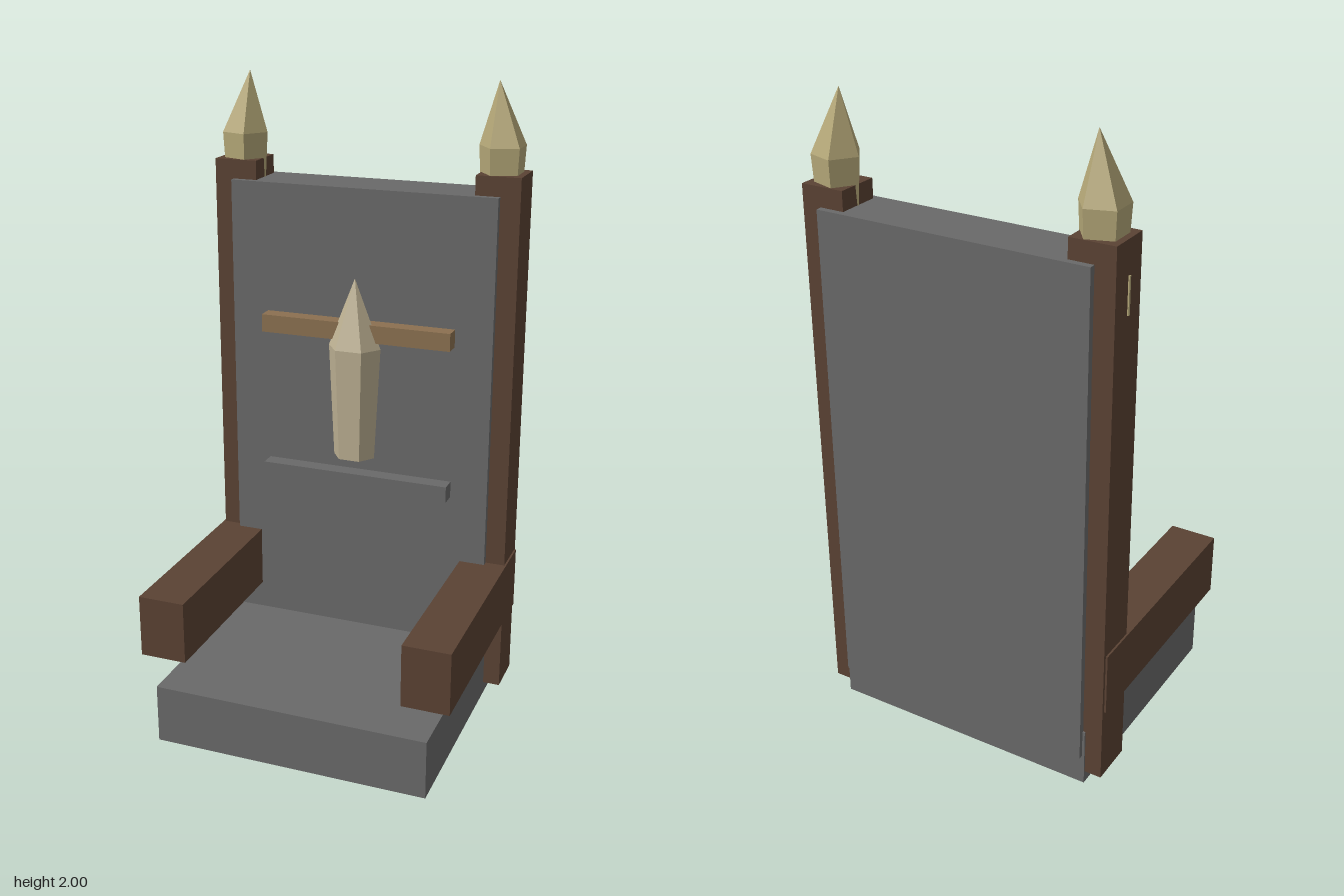
import * as THREE from 'three';

const material = (name, color, flatShading = false) => {
  const m = new THREE.MeshStandardMaterial({ color, flatShading });
  m.name = name;
  return m;
};

export function createModel() {
  const model = new THREE.Group();
  model.name = 'throne';

  const stone = material('grey stone', 0x696969);
  const wood = material('dark wood', 0x5a4233);
  const bronze = material('light wood', 0x8b7050);
  const horn = material('yellow bone', 0xb5a878, true);
  const bone = material('pale bone', 0xbcb092, true);

  // Box given by its lower and upper limits on each axis
  const box = (name, mat, [x0, x1], [y0, y1], [z0, z1]) => {
    const mesh = new THREE.Mesh(new THREE.BoxGeometry(x1 - x0, y1 - y0, z1 - z0), mat);
    mesh.position.set((x0 + x1) / 2, (y0 + y1) / 2, (z0 + z1) / 2);
    mesh.name = name;
    model.add(mesh);
    return mesh;
  };

  // Pointed shard: tapered shaft, widest ring, then an off-centre tip
  const shard = (name, mat, sides, rings, turn, lean) => {
    const profile = rings.map(([r, y]) => new THREE.Vector2(r, y));
    const geo = new THREE.LatheGeometry(profile, sides, turn);
    const pos = geo.attributes.position;
    const tip = rings[rings.length - 1][1];
    for (let i = 0; i < pos.count; i++) {
      if (pos.getY(i) > tip - 1e-4) pos.setX(i, pos.getX(i) + lean);
    }
    geo.computeVertexNormals();
    const mesh = new THREE.Mesh(geo, mat);
    mesh.name = name;
    model.add(mesh);
    return mesh;
  };

  // Seat slab and tall back
  box('seat', stone, [-0.44, 0.44], [0, 0.19], [-0.385, 0.4]);
  box('backrest', stone, [-0.432, 0.432], [0.1, 1.67], [-0.4, -0.22]);

  // Cross rails on the back
  box('upperRail', bronze, [-0.312, 0.312], [1.2, 1.257], [-0.23, -0.168]);
  box('lowerRail', stone, [-0.312, 0.312], [0.7, 0.753], [-0.23, -0.168]);

  // Posts, arms and finials on both sides
  for (const [side, s] of [['left', 1], ['right', -1]]) {
    const span = (a, b) => (s > 0 ? [a, b] : [-b, -a]);
    box(side + 'Post', wood, span(0.355, 0.494), [0.04, 1.73], [-0.38, -0.24]);
    box(side + 'Arm', wood, span(0.35, 0.5), [0.28, 0.48], [-0.37, 0.376]);
    const finial = shard(side + 'Finial', horn, 5,
      [[0, 1.6], [0.062, 1.6], [0.074, 1.81], [0, 2]], -s * Math.PI / 2, -s * 0.018);
    finial.position.set(s * 0.418, 0, -0.31);
  }

  // Sliver of bone showing through the side of one post
  box('boneSliver', horn, [-0.498, -0.492], [1.52, 1.63], [-0.312, -0.304]);

  // Central ornament
  const ornament = shard('backOrnament', bone, 6,
    [[0, 0.81], [0.068, 0.815], [0.086, 1.18], [0, 1.4]], Math.PI / 2, 0);
  ornament.scale.z = 0.8;
  ornament.position.z = -0.176;

  return model;
}
